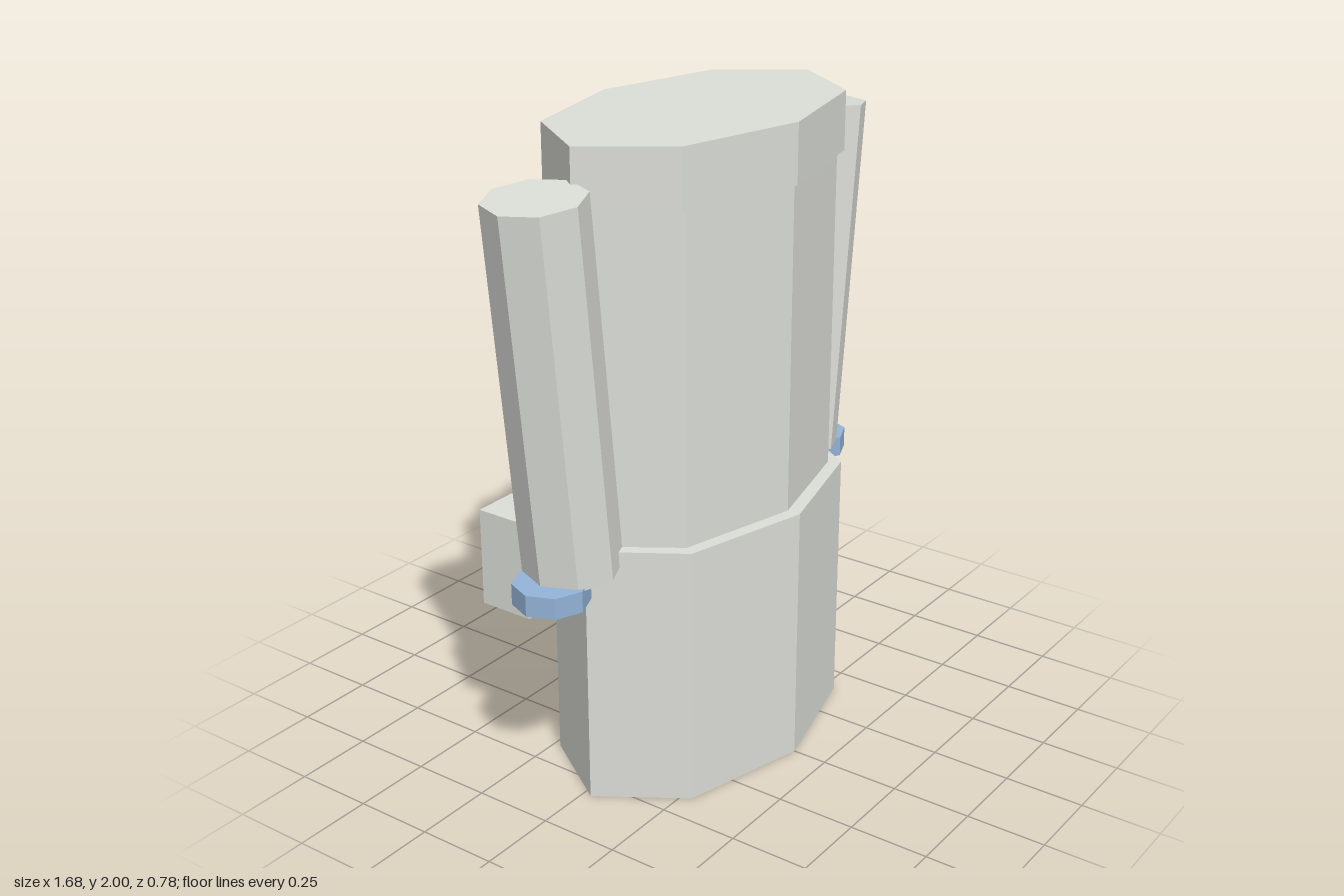
import * as THREE from 'three';

const mat = (name, color) => {
  const m = new THREE.MeshStandardMaterial({ color });
  m.name = name;
  return m;
};

export function createModel() {
  const coat = mat('coat grey', 0xdcded8);
  const blue = mat('shirt blue', 0x94b4d8);
  const dark = mat('trouser dark', 0x3c3c48);
  const red = mat('tie red', 0xc03030);
  const model = new THREE.Group();
  model.name = 'coat';

  const add = (name, geometry, material, x, y, z, tilt = 0) => {
    const mesh = new THREE.Mesh(geometry, material);
    mesh.name = name;
    mesh.position.set(x, y, z);
    mesh.rotation.z = tilt;
    model.add(mesh);
    return mesh;
  };
  // Box given by its extents
  const box = (name, material, x0, x1, y0, y1, z0, z1) =>
    add(name, new THREE.BoxGeometry(x1 - x0, y1 - y0, z1 - z0), material,
      (x0 + x1) / 2, (y0 + y1) / 2, (z0 + z1) / 2);
  // Flat-faced prism without shared normals
  const prism = (r, h, sides = 8) => new THREE.CylinderGeometry(r, r, h, sides).toNonIndexed();
  const flat = (g) => { g.computeVertexNormals(); return g; };

  // Body: three stacked oval octagons [name, bottom, top, rx, rz, z]
  for (const [name, y0, y1, rx, rz, z] of [
    ['skirt', 0, 0.82, 0.57, 0.361, 0.027],
    ['torso', 0.82, 1.82, 0.537, 0.33, 0.015],
    ['collar', 1.82, 2, 0.578, 0.34, 0.015],
  ]) add(name, flat(prism(1, y1 - y0).scale(rx, 1, rz)), coat, 0, (y0 + y1) / 2, z);

  // Mirrored sleeves, cuffs, hip pockets and lapels
  for (const s of [-1, 1]) {
    add('sleeve', flat(prism(0.146, 1.125)), coat, s * 0.638, 1.325, -0.01, -s * 0.105);
    add('cuff', flat(prism(0.113, 0.065)), blue, s * 0.683, 0.732, -0.005);
    add('hipPocket', new THREE.BoxGeometry(0.27, 0.31, 0.18), coat, s * 0.43, 0.685, -0.285);
    add('lapel', new THREE.BoxGeometry(0.11, 0.53, 0.045), coat, s * 0.195, 1.67, -0.328, s * 0.2);
  }

  // Shirt, tie and trouser panel
  box('shirt', blue, -0.15, 0.15, 1.03, 1.87, -0.345, -0.3);
  box('tie', red, -0.038, 0.038, 1.23, 1.82, -0.36, -0.343);
  box('trouserPanel', dark, -0.135, 0.135, 0.16, 0.84, -0.39, -0.32);

  // Chest pocket and name badge on the left
  box('chestPocket', coat, 0.22, 0.385, 1.25, 1.45, -0.345, -0.325);
  box('pocketFlap', coat, 0.24, 0.35, 1.41, 1.475, -0.355, -0.32);

  // Chest pocket with two pens on the right
  box('penPocket', coat, -0.41, -0.24, 1.34, 1.53, -0.35, -0.33);
  add('darkPen', flat(prism(0.014, 0.19, 4)), dark, -0.34, 1.545, -0.34);
  add('bluePen', flat(prism(0.014, 0.17, 4)), blue, -0.27, 1.545, -0.34);

  return model;
}
